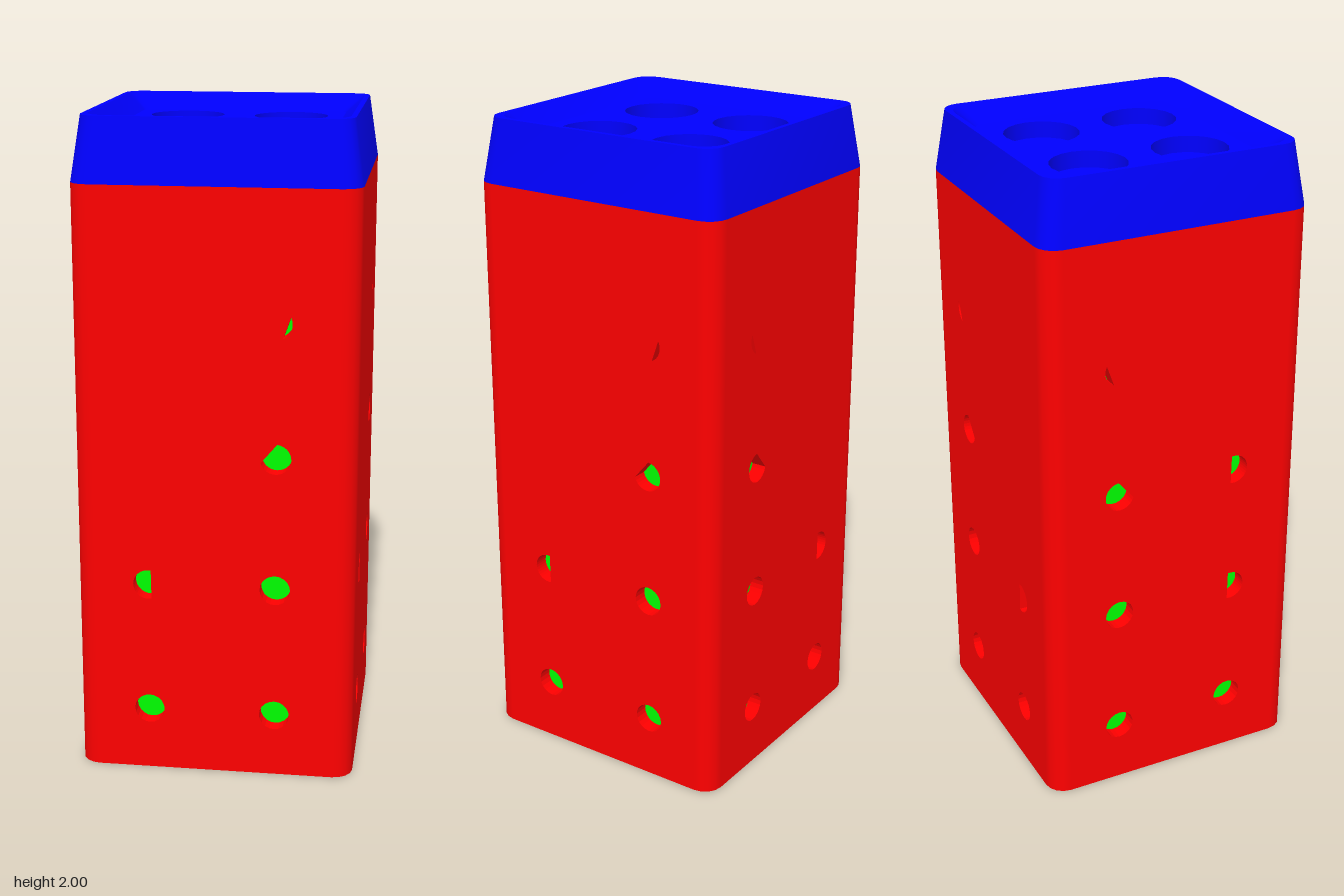
import * as THREE from 'three';
import { toCreasedNormals } from 'three/addons/utils/BufferGeometryUtils.js';

const HALF = 0.422, CORNER = 0.06, BODY_H = 1.81, WALL = 0.045, TAU = Math.PI * 2;
const red = new THREE.MeshStandardMaterial({ color: 0xff0000 });
const green = new THREE.MeshStandardMaterial({ color: 0x00ff00 });
const blue = new THREE.MeshStandardMaterial({ color: 0x0000ff });
const blueInside = new THREE.MeshStandardMaterial({ color: 0x0000ff, side: THREE.BackSide });

function add(parent, name, geometry, material) {
  const mesh = new THREE.Mesh(geometry, material);
  mesh.name = name;
  parent.add(mesh);
  return mesh;
}

// Counter-clockwise outline of a square with rounded corners
function roundedSquare(half, r, segs = 4) {
  const pts = [], c = half - r;
  [[1, 1], [-1, 1], [-1, -1], [1, -1]].forEach(([sx, sy], q) => {
    for (let i = 0; i <= segs; i++) {
      const a = (q + i / segs) * Math.PI / 2;
      pts.push(new THREE.Vector2(sx * c + r * Math.cos(a), sy * c + r * Math.sin(a)));
    }
  });
  return pts;
}

// Skin through rounded-square rings, each given as [half, radius, height]
function loft(rings) {
  const pos = [], idx = [];
  for (const [half, r, y] of rings)
    for (const p of roundedSquare(half, r)) pos.push(p.x, y, -p.y);
  const n = pos.length / 3 / rings.length;
  for (let k = 0; k < rings.length - 1; k++)
    for (let i = 0; i < n; i++) {
      const a = k * n + i, b = k * n + (i + 1) % n;
      idx.push(a, b, b + n, a, b + n, a + n);
    }
  const g = new THREE.BufferGeometry();
  g.setAttribute('position', new THREE.Float32BufferAttribute(pos, 3));
  g.setIndex(idx);
  return toCreasedNormals(g, 0.5);
}

// Holes of one side: column sign, height, start and end angle in degrees.
// Some are cut by a chord, the highest to a sliver.
const HOLES = [
  [-1, 0.197, 0, 360], [-1, 0.605, 80, 282],
  [1, 0.197, 0, 360], [1, 0.605, 0, 360],
  [1, 1.015, 195, 445], [1, 1.42, -66, 27],
];

// Side wall pierced by its holes
function wallGeometry(holes, mirror, shift) {
  const w = HALF - CORNER;
  const shape = new THREE.Shape([
    new THREE.Vector2(-w, 0), new THREE.Vector2(w, 0),
    new THREE.Vector2(w, BODY_H), new THREE.Vector2(-w, BODY_H),
  ]);
  for (const [side, y, d0, d1] of holes) {
    const a0 = (mirror ? 180 - d1 : d0) * Math.PI / 180;
    const x = (mirror ? -side : side) * 0.192 + shift;
    const sweep = (d1 - d0) * Math.PI / 180, n = 20, pts = [];
    const count = d1 - d0 === 360 ? n : n + 1;
    for (let i = 0; i < count; i++) {
      const a = a0 + sweep * i / n;
      pts.push(new THREE.Vector2(x + 0.046 * Math.cos(a), y + 0.046 * Math.sin(a)));
    }
    shape.holes.push(new THREE.Path(pts));
  }
  return new THREE.ExtrudeGeometry(shape, { depth: WALL, bevelEnabled: false })
    .translate(0, 0, HALF - WALL);
}

function createBody() {
  const body = new THREE.Group();
  body.name = 'body';
  const extra = [...HOLES, [-1, 1.015, 80, 282]];
  const walls = [
    ['frontWall', 0, HOLES, false, -0.009], ['rightWall', 1, HOLES, false, 0],
    ['backWall', 2, HOLES, true, 0.009], ['leftWall', 3, extra, true, 0],
  ];
  for (const [name, turn, holes, mirror, shift] of walls) {
    add(body, name, wallGeometry(holes, mirror, shift), red).rotation.y = turn * Math.PI / 2;
    // Rounded upright edge beside this wall
    const edge = new THREE.CylinderGeometry(CORNER, CORNER, BODY_H, 4, 1, true, 0, Math.PI / 2);
    edge.translate(HALF - CORNER, BODY_H / 2, HALF - CORNER).rotateY(turn * Math.PI / 2);
    add(body, 'cornerEdge', edge, red);
  }
  const base = new THREE.ShapeGeometry(new THREE.Shape(roundedSquare(HALF, CORNER)));
  add(body, 'base', base.rotateX(Math.PI / 2), red);

  // Core seen through the holes
  const inner = (HALF - WALL) * 2 - 0.002;
  const core = new THREE.BoxGeometry(inner, BODY_H - 0.04, inner).translate(0, BODY_H / 2, 0);
  add(body, 'innerCore', core, green);
  return body;
}

function createCap() {
  const cap = new THREE.Group();
  cap.name = 'cap';
  const floorY = 1.95, cupDepth = 0.05, cupR = 0.114, cupPos = 0.162;
  // Tapered outside, narrow rim and sloping inside
  add(cap, 'capRim', loft([
    [HALF, CORNER, BODY_H], [0.394, 0.055, 2], [0.378, 0.07, 2], [0.323, 0.045, floorY],
  ]), blue);

  // Sunken floor with four round cups
  const floor = new THREE.Shape(roundedSquare(0.323, 0.045));
  for (const sx of [-1, 1]) for (const sz of [-1, 1]) {
    const pts = [];
    for (let i = 0; i < 20; i++) {
      const a = i / 20 * TAU;
      pts.push(new THREE.Vector2(sx * cupPos + cupR * Math.cos(a), sz * cupPos + cupR * Math.sin(a)));
    }
    floor.holes.push(new THREE.Path(pts));
    const wall = new THREE.CylinderGeometry(cupR, cupR, cupDepth, 20, 1, true);
    add(cap, 'cupWall', wall, blueInside).position.set(sx * cupPos, floorY - cupDepth / 2, sz * cupPos);
    const disc = new THREE.CircleGeometry(cupR, 20).rotateX(-Math.PI / 2);
    add(cap, 'cupBottom', disc, blue).position.set(sx * cupPos, floorY - cupDepth, sz * cupPos);
  }
  add(cap, 'capFloor', new THREE.ShapeGeometry(floor).rotateX(-Math.PI / 2), blue).position.y = floorY;
  return cap;
}

export function createModel() {
  const model = new THREE.Group();
  model.name = 'cappedBlock';
  model.add(createBody(), createCap());
  return model;
}
